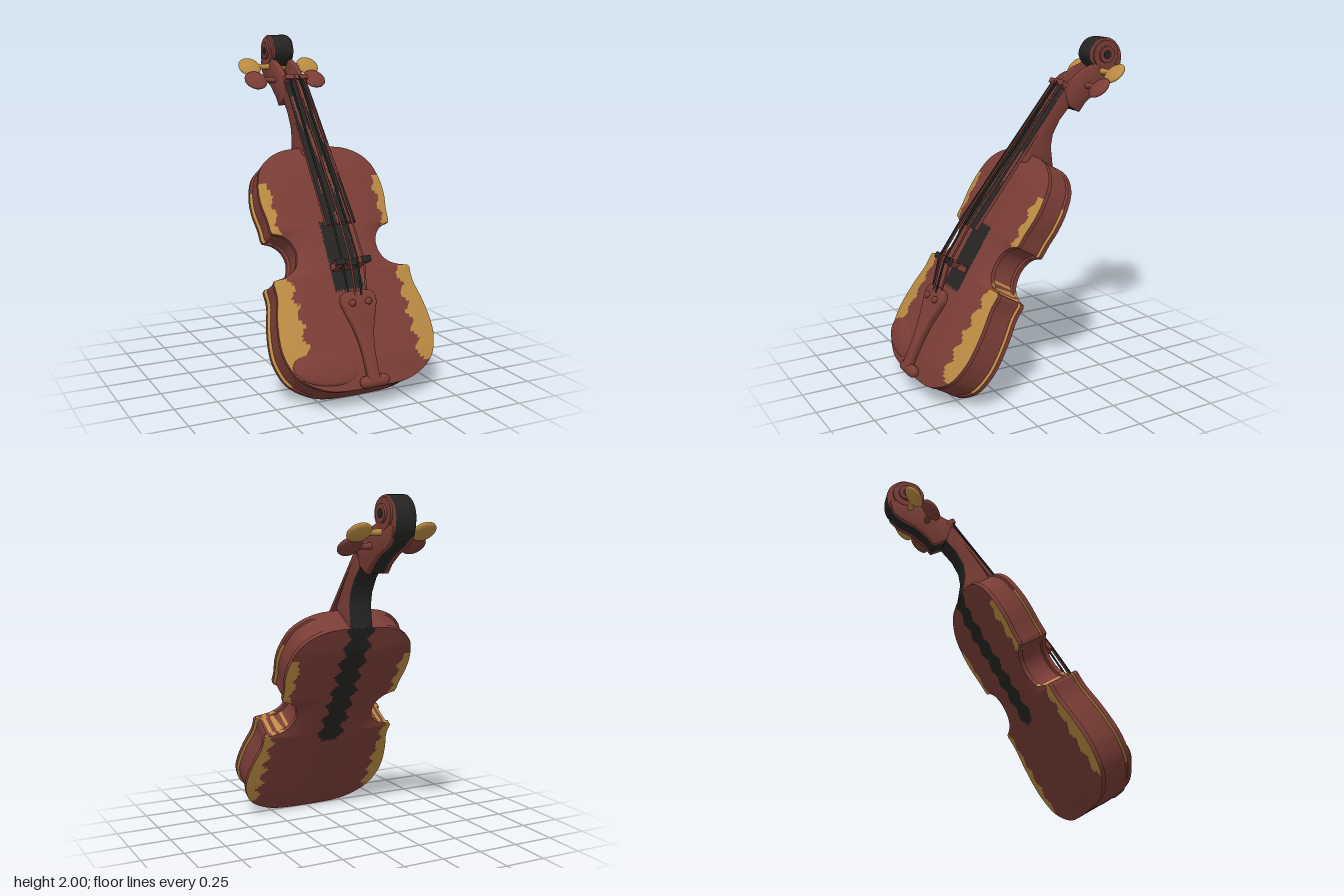
import * as THREE from 'three';
import { toCreasedNormals } from 'three/addons/utils/BufferGeometryUtils.js';

const RED = 0x7a3d36, GOLD = 0xb98a42, BLACK = 0x252423;
const { lerp, clamp } = THREE.MathUtils;
const zig = (v) => 0.03 * Math.abs(((v * 9) % 1) * 2 - 1);

function mesh(name, geo, color) {
  const m = new THREE.Mesh(geo, new THREE.MeshStandardMaterial({ color }));
  m.name = name;
  return m;
}

// Splits a geometry into one mesh per colour; pick(centre, normal) chooses the colour of each face
function paint(name, geo, pick) {
  const g = toCreasedNormals(geo, 0.7);
  const p = g.attributes.position, n = g.attributes.normal;
  const buckets = new Map();
  const pts = [0, 1, 2].map(() => new THREE.Vector3());
  const centre = new THREE.Vector3(), normal = new THREE.Vector3(), tri = new THREE.Triangle();
  for (let i = 0; i < p.count; i += 3) {
    pts.forEach((q, k) => q.fromBufferAttribute(p, i + k));
    tri.set(...pts);
    if (tri.getArea() < 1e-10) continue;
    tri.getMidpoint(centre);
    tri.getNormal(normal);
    const c = pick(centre, normal);
    if (!buckets.has(c)) buckets.set(c, { pos: [], nor: [] });
    const b = buckets.get(c);
    for (let k = i; k < i + 3; k++) {
      b.pos.push(p.getX(k), p.getY(k), p.getZ(k));
      b.nor.push(n.getX(k), n.getY(k), n.getZ(k));
    }
  }
  const group = new THREE.Group();
  group.name = name;
  for (const [c, b] of buckets) {
    const part = new THREE.BufferGeometry();
    part.setAttribute('position', new THREE.Float32BufferAttribute(b.pos, 3));
    part.setAttribute('normal', new THREE.Float32BufferAttribute(b.nor, 3));
    group.add(mesh(name + 'Paint', part, c));
  }
  return group;
}

const shapeOf = (pts) => new THREE.Shape(pts.map(([x, y]) => new THREE.Vector2(x, y)));

// Side profile given as [z, y], extruded between x0 and x1
function sideProfile(pts, x0, x1, bevel) {
  const geo = new THREE.ExtrudeGeometry(shapeOf(pts), {
    depth: x1 - x0 - 2 * bevel, bevelEnabled: true, bevelSize: bevel * 0.5,
    bevelOffset: -bevel * 0.5, bevelThickness: bevel, bevelSegments: 3,
  });
  return geo.rotateY(-Math.PI / 2).translate(x1 - bevel, 0, 0);
}

const smooth = (pts, n = 40) =>
  new THREE.SplineCurve(pts.map(([x, y]) => new THREE.Vector2(x, y))).getPoints(n).map((q) => [q.x, q.y]);

// Sound box: cross-sections along its length, following the half outline [half width, v]
function bodyGeometry() {
  const rows = [
    ...smooth([[0, 0], [0.2, 0.008], [0.32, 0.045], [0.42, 0.12], [0.468, 0.23], [0.475, 0.33], [0.46, 0.45], [0.432, 0.57], [0.435, 0.655]]),
    ...smooth([[0.425, 0.67], [0.34, 0.69], [0.28, 0.735], [0.257, 0.81], [0.275, 0.88], [0.32, 0.925], [0.375, 0.945]], 24),
    ...smooth([[0.382, 0.965], [0.385, 1.03], [0.4, 1.13], [0.395, 1.23], [0.36, 1.34], [0.29, 1.41], [0.2, 1.45], [0.1, 1.462], [0, 1.464]]),
  ];
  const cols = 48, pos = [], index = [];
  let ring = 0;
  for (const [h, v] of rows) {
    const end = clamp(Math.min(v, 1.464 - v) / 0.15, 0, 1);
    const front = lerp(0.205, 0.175, v / 1.464), inner = Math.max(0, h - 0.016);
    const arch = (t) => end * (1 - Math.abs(t) ** 3);
    const loop = [];
    for (let j = 0; j <= cols; j++) {
      const t = 1 - (2 * j) / cols;
      loop.push([h * t, front + 0.03 * arch(t)]);
    }
    loop.push([-h, front - 0.025], [-inner, front - 0.032], [-inner, 0.032], [-h, 0.025]);
    for (let j = 0; j <= cols; j++) {
      const t = -1 + (2 * j) / cols;
      loop.push([h * t, -0.018 * arch(t)]);
    }
    loop.push([h, 0.025], [inner, 0.032], [inner, front - 0.032], [h, front - 0.025]);
    ring = loop.length;
    for (const [x, w] of loop) pos.push(x, v, w);
  }
  for (let r = 0; r < rows.length - 1; r++) {
    for (let j = 0; j < ring; j++) {
      const k = (j + 1) % ring;
      const a = r * ring + j, b = a + ring, c = r * ring + k, d = c + ring;
      index.push(a, b, c, c, b, d);
    }
  }
  const geo = new THREE.BufferGeometry();
  geo.setAttribute('position', new THREE.Float32BufferAttribute(pos, 3));
  geo.setIndex(index);
  return geo;
}

function bodyColor(c, n) {
  const x = Math.abs(c.x), v = c.y;
  if (Math.abs(n.z) < 0.6) {
    return v > 0.66 && v < 0.72 && n.y > 0.6 && Math.sin(c.x * 120) > 0 ? GOLD : RED;
  }
  const front = n.z > 0;
  if (v > 0.1 && v < 0.67 && x > (front ? 0.315 : 0.36) + zig(v) * 1.4) return GOLD;
  if (v > 0.9 && v < 1.25 && x > 0.32 + zig(v)) return GOLD;
  if (front && v > 0.56 && v < 0.98 && x < 0.085) return BLACK;
  if (!front && v > 0.6 && x < 0.05 + zig(v) * 1.5) return BLACK;
  return RED;
}

// Tapered, cambered fingerboard made by moving the vertices of a box
function fingerboardGeometry() {
  const geo = new THREE.BoxGeometry(1, 1, 1, 20, 40, 1), p = geo.attributes.position;
  for (let i = 0; i < p.count; i++) {
    const t = p.getX(i) * 2, s = p.getY(i) + 0.5, up = p.getZ(i) > 0;
    const top = lerp(0.335, 0.2, s) - 0.018 * t * t;
    p.setXYZ(i, t * lerp(0.092, 0.073, s), lerp(0.925, 1.915, s), up ? top : lerp(0.292, 0.165, s));
  }
  return geo;
}

export function createModel() {
  const model = new THREE.Group();
  model.name = 'violin';

  // Leaning part: y runs along the instrument, z out of its face
  const lean = new THREE.Group();
  lean.name = 'leaningBody';
  lean.position.z = 0.5;
  lean.rotation.x = -0.544;
  model.add(lean);

  lean.add(paint('soundBox', bodyGeometry(), bodyColor));
  lean.add(paint('fingerboard', fingerboardGeometry(), (c, n) =>
    n.z > 0.5 && Math.sin(c.x * 190) + Math.sin(c.y * 11 + c.x * 75) < 1.2 ? BLACK : RED));

  // Nut
  const nut = mesh('nut', new THREE.BoxGeometry(0.15, 0.03, 0.05), RED);
  nut.position.set(0, 1.92, 0.19);
  lean.add(nut);

  // Bridge with an arch between its feet
  const bridgeShape = shapeOf([[-0.11, 0.21], [-0.05, 0.21], [-0.035, 0.245], [0.035, 0.245], [0.05, 0.21], [0.11, 0.21],
    [0.1, 0.25], [0.085, 0.27], [0.095, 0.325], [0.05, 0.347], [0, 0.353], [-0.05, 0.347], [-0.095, 0.325], [-0.085, 0.27], [-0.1, 0.25]]);
  for (const s of [-1, 1]) bridgeShape.holes.push(new THREE.Path().absarc(s * 0.045, 0.285, 0.016, 0, Math.PI * 2, true));
  const bridge = new THREE.ExtrudeGeometry(bridgeShape, { depth: 0.035, bevelEnabled: false });
  bridge.rotateX(Math.PI / 2).scale(1, 1, -1);
  // The mirror above flips the faces, so swap two corners of each triangle
  const bp = bridge.attributes.position;
  for (let i = 0; i < bp.count; i += 3) {
    const a = [bp.getX(i), bp.getY(i), bp.getZ(i)];
    bp.setXYZ(i, bp.getX(i + 1), bp.getY(i + 1), bp.getZ(i + 1));
    bp.setXYZ(i + 1, ...a);
  }
  bridge.computeBoundingBox();
  bridge.translate(0, 0.675 - bridge.boundingBox.min.y, 0.21 - bridge.boundingBox.min.z);
  lean.add(paint('bridge', bridge, (c, n) => (n.z > 0.5 ? BLACK : RED)));

  // Tailpiece
  const half = smooth([[0.034, 0.03], [0.038, 0.2], [0.06, 0.32], [0.098, 0.43], [0.108, 0.49], [0.08, 0.53], [0, 0.535]], 24);
  const tailShape = shapeOf([...half, ...half.slice(0, -1).reverse().map(([x, y]) => [-x, y])]);
  const tail = mesh('tailpiece', toCreasedNormals(new THREE.ExtrudeGeometry(tailShape, {
    depth: 0.02, bevelSize: 0.01, bevelOffset: -0.01, bevelThickness: 0.012, bevelSegments: 3,
  }), 0.7), RED);
  tail.position.z = 0.232;
  tail.rotation.x = 0.09;
  lean.add(tail);
  for (const s of [-1, 1]) {
    const tuner = mesh('fineTuner', new THREE.SphereGeometry(0.02, 12, 8), RED);
    tuner.position.set(s * 0.05, 0.46, 0.312);
    lean.add(tuner);
  }

  // Chin rest and the bar at the bottom end
  const chin = mesh('chinRest', new THREE.SphereGeometry(1, 32, 16), RED);
  chin.scale.set(0.205, 0.1, 0.03);
  chin.position.set(-0.235, 0.145, 0.206);
  chin.rotation.z = -0.15;
  const bar = mesh('tailBar', new THREE.CapsuleGeometry(0.034, 0.11, 8, 16).rotateZ(Math.PI / 2), RED);
  bar.position.set(0.01, 0.03, 0.232);
  lean.add(chin, bar);

  // Strings
  for (let i = 0; i < 4; i++) {
    const s = (i - 1.5) / 1.5, dip = 0.014 * s * s;
    const pts = [[0.055, 0.5, 0.31], [0.068, 0.693, 0.36], [0.06, 0.95, 0.346], [0.046, 1.92, 0.22]];
    const path = new THREE.CurvePath();
    const v = pts.map(([x, y, z]) => new THREE.Vector3(x * s, y, z - dip));
    for (let k = 0; k < 3; k++) path.add(new THREE.LineCurve3(v[k], v[k + 1]));
    lean.add(mesh('string', new THREE.TubeGeometry(path, 40, 0.006, 6), i % 2 ? RED : BLACK));
  }

  // Neck with its heel, black along the back
  const neckPts = [[-0.33, 1.73], [-0.365, 1.6], [-0.3, 1.53], [-0.255, 1.45], [-0.242, 1.38], [-0.258, 1.25],
    [-0.2, 1.23], [-0.06, 1.3], [-0.07, 1.37], [-0.2, 1.56]];
  model.add(paint('neck', sideProfile(neckPts, -0.075, 0.075, 0.035), (c, n) =>
    (n.z < -0.3 && Math.abs(n.x) < 0.7 ? BLACK : RED)));

  // Pegbox: two cheeks and a floor
  const cheek = [[-0.31, 1.735], [-0.355, 1.61], [-0.43, 1.57], [-0.47, 1.62], [-0.55, 1.68], [-0.64, 1.72], [-0.69, 1.765],
    [-0.71, 1.83], [-0.6, 1.87], [-0.54, 1.85], [-0.46, 1.82], [-0.38, 1.765]];
  for (const s of [-1, 1]) {
    model.add(mesh('pegboxCheek', toCreasedNormals(sideProfile(cheek, s * 0.056 - 0.016, s * 0.056 + 0.016, 0.008), 0.7), RED));
  }
  const floor = [[-0.33, 1.72], [-0.355, 1.612], [-0.43, 1.572], [-0.47, 1.622], [-0.55, 1.682], [-0.64, 1.722],
    [-0.69, 1.765], [-0.71, 1.82], [-0.62, 1.8], [-0.53, 1.74], [-0.44, 1.66]];
  model.add(mesh('pegboxFloor', sideProfile(floor, -0.05, 0.05, 0.004), BLACK));

  // Scroll: black rim, red sides stepping out to the eye
  const curl = smooth([[-0.66, 1.74], [-0.715, 1.8], [-0.731, 1.88], [-0.71, 1.945], [-0.66, 1.988], [-0.61, 1.998],
    [-0.55, 1.983], [-0.512, 1.94], [-0.5, 1.895], [-0.52, 1.85], [-0.56, 1.81], [-0.6, 1.78]], 48);
  model.add(paint('scroll', sideProfile(curl, -0.062, 0.062, 0.012), (c, n) => (Math.abs(n.x) < 0.5 ? BLACK : RED)));
  for (const [r, w, color] of [[0.085, 0.15, RED], [0.05, 0.18, RED], [0.026, 0.186, BLACK]]) {
    const eye = mesh('scrollEye', new THREE.CylinderGeometry(r, r, w, 32).rotateZ(Math.PI / 2), color);
    eye.position.set(0, 1.9, -0.61);
    model.add(eye);
  }

  // Tuning pegs
  for (const [y, z, color] of [[1.802, -0.585, GOLD], [1.725, -0.48, RED]]) {
    for (const s of [-1, 1]) {
      const peg = new THREE.Group();
      peg.name = 'tuningPeg';
      peg.position.set(0, y, z);
      const shaft = mesh('pegShaft', new THREE.CylinderGeometry(0.015, 0.022, 0.15, 16).rotateZ(-s * Math.PI / 2), color);
      shaft.position.set(s * 0.075, 0, 0);
      const head = mesh('pegHead', new THREE.SphereGeometry(1, 24, 16), color);
      head.scale.set(0.072, 0.072, 0.022);
      head.position.x = s * 0.198;
      head.rotation.x = -0.81;
      peg.add(shaft, head);
      model.add(peg);
    }
  }
  return model;
}
